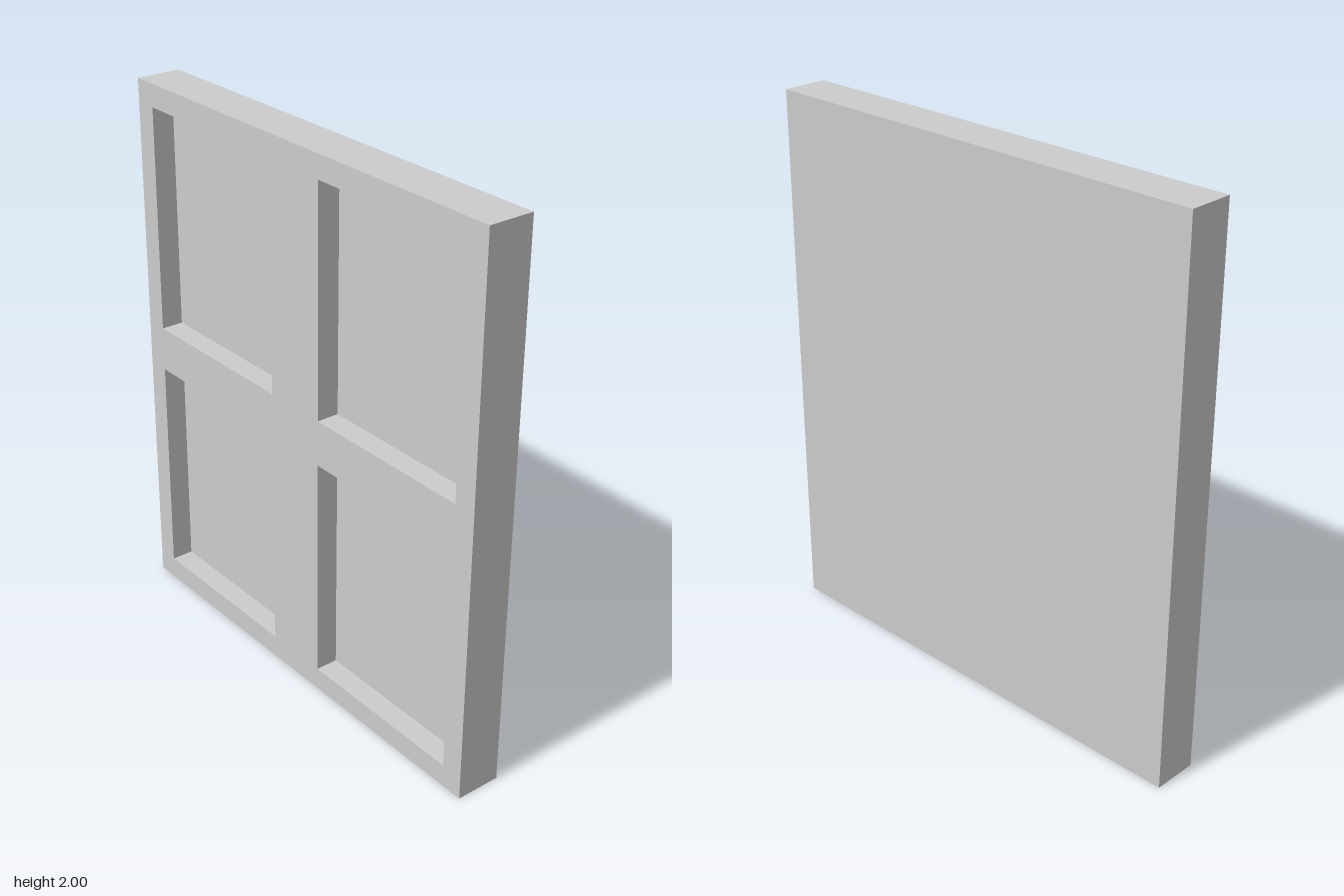
import * as THREE from 'three';

const W = 1.75, H = 2, D = 1 / 6;      // overall size
const PANE_W = 2 / 3, PANE_H = 5 / 6;  // recess size
const PANE_X = 0.4583, PANE_Y = 0.5;   // recess centre offsets from the middle

// Adds a closed rectangle centred on (x, y) to a shape or path
function rect(path, x, y, w, h) {
  path.moveTo(x - w / 2, y - h / 2);
  path.lineTo(x + w / 2, y - h / 2);
  path.lineTo(x + w / 2, y + h / 2);
  path.lineTo(x - w / 2, y + h / 2);
  path.closePath();
  return path;
}

export function createModel() {
  const group = new THREE.Group();
  group.name = 'panelledWindow';
  const material = new THREE.MeshStandardMaterial({ color: 0xcccccc, flatShading: true });

  // Front half: frame and crossbars around four openings
  const outline = rect(new THREE.Shape(), 0, H / 2, W, H);
  for (const sx of [-1, 1]) {
    for (const sy of [-1, 1]) {
      outline.holes.push(rect(new THREE.Path(), sx * PANE_X, H / 2 + sy * PANE_Y, PANE_W, PANE_H));
    }
  }
  const frame = new THREE.Mesh(
    new THREE.ExtrudeGeometry(outline, { depth: D / 2, bevelEnabled: false }), material);
  frame.name = 'frame';
  group.add(frame);

  // Back half: solid slab that closes the openings
  const back = new THREE.Mesh(new THREE.BoxGeometry(W, H, D / 2), material);
  back.name = 'backPanel';
  back.position.set(0, H / 2, -D / 4);
  group.add(back);

  return group;
}
